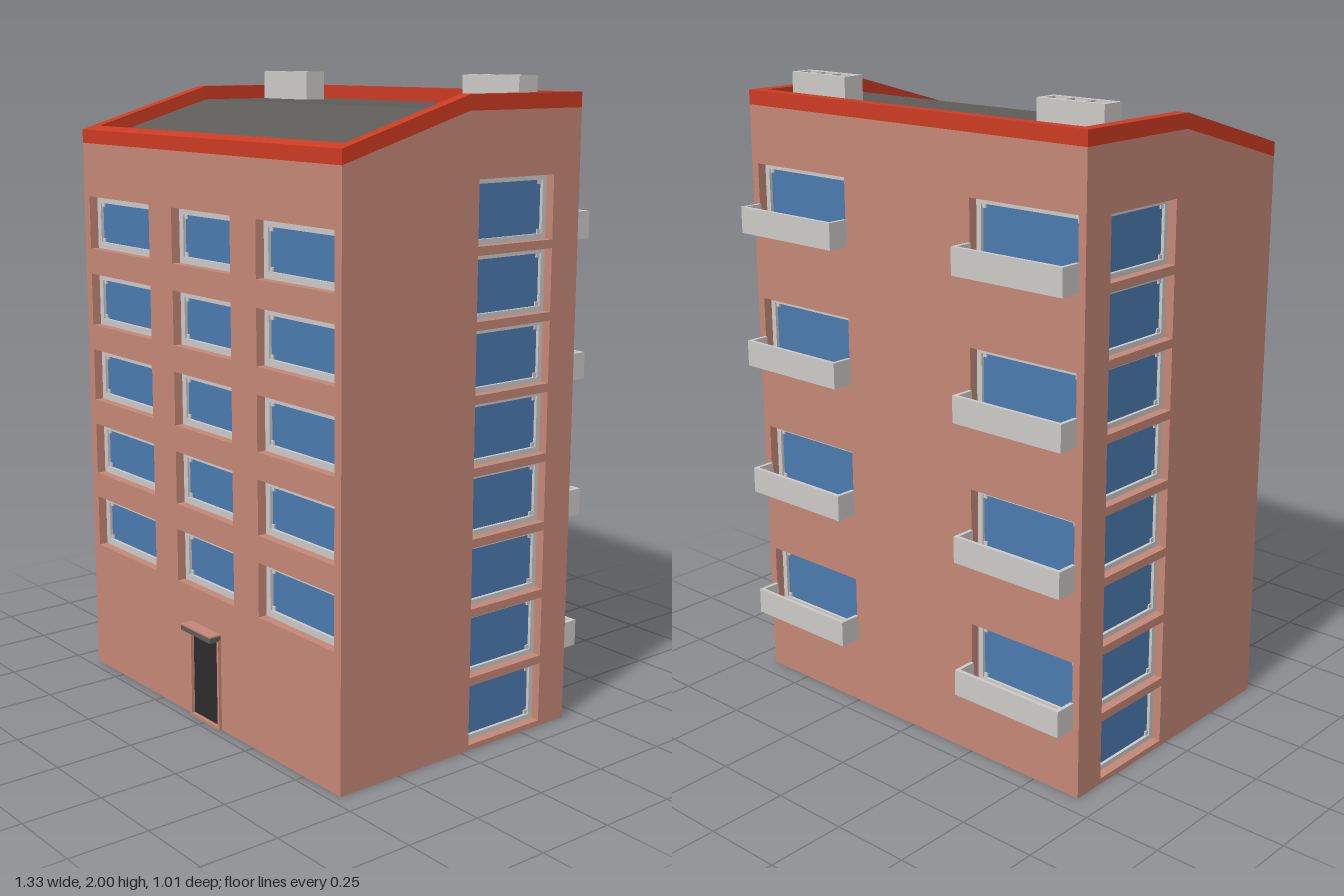
import * as THREE from 'three';

const material = (name, color, side = THREE.FrontSide) => {
  const m = new THREE.MeshStandardMaterial({ color, side });
  m.name = name;
  return m;
};
const wallMat = material('brick wall', 0xc48777, THREE.DoubleSide);
const redMat = material('red trim', 0xcc3b22);
const roofMat = material('roof grey', 0x5e5c58, THREE.DoubleSide);
const frameMat = material('light grey', 0xcbcac7);
const glassMat = material('window blue', 0x4a7aae);
const darkMat = material('dark', 0x2c2c2c);

const X = 0.667, FRONT = 0.466, BACK = -0.437, RIDGE = 0.01;

function add(parent, name, geometry, mat, x = 0, y = 0, z = 0) {
  const mesh = new THREE.Mesh(geometry, mat);
  mesh.name = name;
  mesh.position.set(x, y, z);
  parent.add(mesh);
  return mesh;
}
const box = (w, h, d) => new THREE.BoxGeometry(w, h, d);
const shapeOf = (pts) => new THREE.Shape(pts.map(([x, y]) => new THREE.Vector2(x, y)));

function rect(cx, cy, w, h, Type = THREE.Path) {
  return new Type([[-1, -1], [1, -1], [1, 1], [-1, 1]].map(
    ([a, b]) => new THREE.Vector2(cx + a * w / 2, cy + b * h / 2)));
}

// Rectangular ring, front face at z = 0, running back to -depth
function ring(w, h, border, depth) {
  const s = rect(0, 0, w, h, THREE.Shape);
  s.holes.push(rect(0, 0, w - 2 * border, h - 2 * border));
  return new THREE.ExtrudeGeometry(s, { depth, bevelEnabled: false }).translate(0, 0, -depth);
}

// Profile drawn as (z, y), extruded along x and centred
function alongX(pts, width) {
  return new THREE.ExtrudeGeometry(shapeOf(pts), { depth: width, bevelEnabled: false })
    .rotateY(-Math.PI / 2).translate(width / 2, 0, 0);
}

// Recessed window facing +z, with the wall surface at z = 0
function makeWindow(w, h, border) {
  const g = new THREE.Group();
  g.name = 'window';
  add(g, 'windowReveal', ring(w + 0.008, h + 0.008, 0.004, 0.05), wallMat, 0, 0, -0.001);
  add(g, 'windowFrame', ring(w, h, border, 0.02), frameMat, 0, 0, -0.03);
  add(g, 'windowPane', box(w - 0.004, h - 0.004, 0.008), glassMat, 0, 0, -0.044);
  for (const sx of [-1, 1]) for (const sy of [-1, 1]) {
    add(g, 'frameCorner', box(0.014, 0.014, 0.006), frameMat,
      sx * (w / 2 - border - 0.006), sy * (h / 2 - border - 0.006), -0.038);
  }
  return g;
}

// Open-topped balcony, back edge at z = 0, projecting along +z
function makeBalcony(w, h, d) {
  const g = new THREE.Group(), t = 0.012;
  g.name = 'balcony';
  add(g, 'balconyFloor', box(w, t, d), frameMat, 0, t / 2, d / 2);
  add(g, 'balconyFront', box(w, h - t, t), frameMat, 0, (h + t) / 2, d - t / 2);
  for (const s of [-1, 1])
    add(g, 'balconySide', box(t, h - t, d - t), frameMat, s * (w - t) / 2, (h + t) / 2, (d - t) / 2);
  return g;
}

export function createModel() {
  const model = new THREE.Group();
  model.name = 'apartmentBuilding';

  // Front wall: five floors of three windows, and the door opening
  const front = shapeOf([[-X, 0], [X, 0], [X, 1.777], [-X, 1.777]]);
  front.holes.push(rect(0, 0.15, 0.14, 0.28));
  for (let floor = 0; floor < 5; floor++) {
    const y = 0.511 + floor * 0.2525;
    for (const [x, w] of [[-0.458, 0.358], [0, 0.308], [0.458, 0.358]]) {
      front.holes.push(rect(x, y, w, 0.17));
      const win = makeWindow(w, 0.17, 0.021);
      win.position.set(x, y, FRONT);
      model.add(win);
    }
  }
  add(model, 'frontWall', new THREE.ShapeGeometry(front), wallMat, 0, 0, FRONT);

  // Back wall: four floors of two windows with balconies
  const back = shapeOf([[-X, 0], [X, 0], [X, 1.907], [-X, 1.907]]);
  for (let floor = 0; floor < 4; floor++) {
    const base = 0.22 + floor * 0.432;
    for (const s of [-1, 1]) {
      const x = s * 0.446, y = base + 0.11, h = 0.2;
      back.holes.push(rect(-x, y, 0.39, h));
      const win = makeWindow(0.39, h, 0.018);
      win.position.set(x, y, BACK);
      win.rotation.y = Math.PI;
      const balcony = makeBalcony(0.4, 0.083, 0.071);
      balcony.position.set(x, base, BACK);
      balcony.rotation.y = Math.PI;
      model.add(win, balcony);
    }
  }
  add(model, 'backWall', new THREE.ShapeGeometry(back), wallMat, 0, 0, BACK).rotation.y = Math.PI;

  // Side walls: one column of eight windows each
  for (const s of [-1, 1]) {
    const side = shapeOf([[FRONT, 0], [FRONT, 1.777], [RIDGE, 1.907], [BACK, 1.907], [BACK, 0]]);
    for (let i = 0; i < 8; i++) {
      const y = 0.112 + i * 0.2157;
      side.holes.push(rect(-0.18, y, 0.3, 0.19));
      const win = makeWindow(0.3, 0.19, 0.016);
      win.position.set(s * X, y, -0.18);
      win.rotation.y = s * Math.PI / 2;
      model.add(win);
    }
    add(model, 'sideWall', new THREE.ShapeGeometry(side).rotateY(-Math.PI / 2), wallMat, s * X);

    // Side parapet following the roof line
    add(model, 'sideParapet', alongX([[FRONT, 1.777], [FRONT, 1.82], [RIDGE, 1.952],
      [BACK, 1.952], [BACK, 1.907], [RIDGE, 1.907]], 0.04), redMat, s * (X - 0.02));
  }

  // Front and back parapets
  const inner = 2 * X - 0.08;
  add(model, 'frontParapet', alongX([[FRONT, 1.777], [FRONT, 1.82], [0.425, 1.832], [0.425, 1.785]],
    inner), redMat);
  add(model, 'backParapet', box(inner, 0.045, 0.04), redMat, 0, 1.9295, BACK + 0.02);

  // Roof: flat at the back, sloping down to the front
  add(model, 'roof', alongX([[0.45, 1.782], [RIDGE, 1.908], [BACK + 0.01, 1.908],
    [BACK + 0.01, 1.9], [RIDGE, 1.9], [0.45, 1.774]], inner + 0.02), roofMat);

  // Chimneys with three flues
  for (const s of [-1, 1]) {
    const chimney = new THREE.Group();
    chimney.name = 'chimney';
    chimney.position.set(s * 0.498, 1.9, -0.265);
    const top = rect(0, 0, 0.236, 0.075, THREE.Shape);
    for (const x of [-0.07, 0, 0.07]) top.holes.push(rect(x, 0, 0.062, 0.046));
    add(chimney, 'chimneyBlock', new THREE.ExtrudeGeometry(top, { depth: 0.1, bevelEnabled: false })
      .rotateX(-Math.PI / 2), frameMat);
    add(chimney, 'flueInterior', box(0.21, 0.06, 0.05), darkMat, 0, 0.045, 0);
    model.add(chimney);
  }

  // Door with surround and canopy
  const door = new THREE.Group();
  door.name = 'door';
  door.position.set(0, 0, FRONT);
  add(door, 'doorLeaf', box(0.142, 0.284, 0.01), darkMat, 0, 0.15, -0.006);
  add(door, 'doorSurround', ring(0.16, 0.295, 0.009, 0.02), wallMat, 0, 0.1475, 0.01);
  add(door, 'canopy', box(0.16, 0.016, 0.04), roofMat, 0, 0.3, 0.02);
  add(door, 'canopyTop', box(0.16, 0.005, 0.04), wallMat, 0, 0.3105, 0.02);
  model.add(door);

  return model;
}
